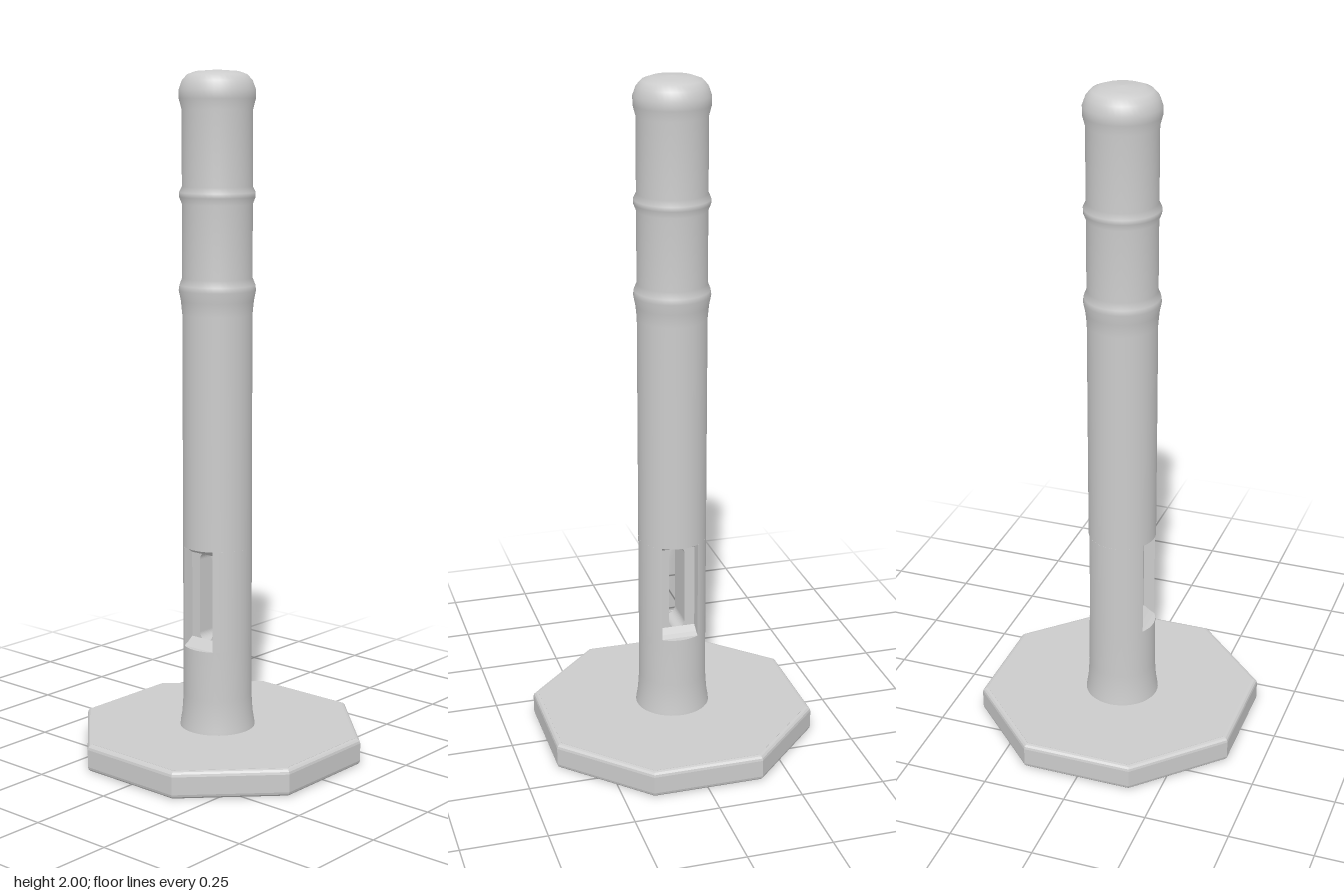
import * as THREE from 'three';

const CX = -0.006, CZ = 0.008;            // the shaft sits slightly off centre
const R = 0.101;                          // shaft radius
const SLOT = { bottom: 0.33, top: 0.63, half: 0.055, depth: 0.05 };

const material = new THREE.MeshStandardMaterial({ color: 0xcccccc });

function add(parent, name, geometry) {
  const mesh = new THREE.Mesh(geometry, material);
  mesh.name = name;
  parent.add(mesh);
  return mesh;
}

function lathe(points) {
  return new THREE.LatheGeometry(points.map(([r, y]) => new THREE.Vector2(r, y)), 40);
}

// Extrude a plan outline upwards from y0 to y1
function slab(shape, y0, y1, bevel = 0) {
  const geometry = new THREE.ExtrudeGeometry(shape, {
    depth: y1 - y0 - 2 * bevel, bevelEnabled: bevel > 0, bevelSize: bevel,
    bevelThickness: bevel, bevelOffset: -bevel, bevelSegments: 3, curveSegments: 24,
  });
  return geometry.rotateX(-Math.PI / 2).translate(0, y0 + bevel, 0);
}

function octagon(apothem) {
  const r = apothem / Math.cos(Math.PI / 8), points = [];
  for (let i = 0; i < 8; i++) {
    const a = Math.PI / 8 + i * Math.PI / 4;
    points.push(new THREE.Vector2(r * Math.cos(a), r * Math.sin(a)));
  }
  return new THREE.Shape(points);
}

function withHole(shape, r) {
  shape.holes.push(new THREE.Path().absarc(0, 0, r, 0, Math.PI * 2, true));
  return shape;
}

function ring(outer, inner) {
  return withHole(new THREE.Shape().absarc(0, 0, outer, 0, Math.PI * 2), inner);
}

function createBase() {
  const base = new THREE.Group();
  base.name = 'base';
  add(base, 'rim', slab(withHole(octagon(0.397), 0.35), 0, 0.08, 0.014));
  add(base, 'plate', slab(octagon(0.382), 0.045, 0.0805));
  // Ribbed underside
  add(base, 'middleRing', slab(ring(0.31, 0.27), 0.008, 0.05));
  add(base, 'hubRing', slab(ring(0.17, 0.12), 0.008, 0.05));
  for (let i = 0; i < 8; i++) {
    const a = i * Math.PI / 4;
    const spoke = add(base, 'spoke', new THREE.BoxGeometry(0.21, 0.036, 0.03));
    spoke.position.set(0.255 * Math.cos(a), 0.031, 0.255 * Math.sin(a));
    spoke.rotation.y = -a;
  }
  return base;
}

function createSlot() {
  const slot = new THREE.Group();
  slot.name = 'slottedSection';
  const { bottom, top, half, depth } = SLOT;

  // Inner web with a narrow rounded hole right through it
  const web = new THREE.Shape();
  web.moveTo(-0.08, bottom).lineTo(0.08, bottom).lineTo(0.08, top).lineTo(-0.08, top).closePath();
  const hole = new THREE.Path();
  hole.absarc(0, 0.37, 0.024, Math.PI, Math.PI * 2, false);
  hole.absarc(0, 0.59, 0.024, 0, Math.PI, false);
  web.holes.push(hole);
  add(slot, 'web', new THREE.ExtrudeGeometry(web, { depth: 2 * depth, bevelEnabled: false, curveSegments: 10 })
    .translate(0, 0, -depth));

  // Side walls: segments of the round shaft
  const a = Math.acos(half / R);
  const wall = slab(new THREE.Shape().absarc(0, 0, R, -a, a), bottom, top);
  for (const turn of [0, Math.PI]) add(slot, 'sideWall', wall).rotation.y = turn;

  // Sloped ends of the recess on both faces
  for (const [end, dir] of [[bottom, 1], [top, -1]]) {
    const wedge = new THREE.Shape([[depth, end], [0.084, end], [0.07, end + dir * 0.008], [depth, end + dir * 0.022]]
      .map(([x, y]) => new THREE.Vector2(x, y)));
    const geometry = new THREE.ExtrudeGeometry(wedge, { depth: 2 * half, bevelEnabled: false })
      .translate(0, 0, -half);
    for (const turn of [1, -1]) add(slot, 'recessEnd', geometry).rotation.y = turn * Math.PI / 2;
  }
  return slot;
}

export function createModel() {
  const model = new THREE.Group();
  model.name = 'model';
  model.add(createBase());

  const shaft = new THREE.Group();
  shaft.name = 'shaft';
  shaft.position.set(CX, 0, CZ);
  model.add(shaft);

  // Flared foot below the slot
  add(shaft, 'foot', lathe([
    [0.112, 0.07], [0.11, 0.09], [0.105, 0.12], [R, 0.18], [R, SLOT.bottom], [R, SLOT.bottom], [0, SLOT.bottom],
  ]));
  shaft.add(createSlot());

  // Long tube with two raised bands and a domed cap
  add(shaft, 'tube', lathe([
    [0, SLOT.top], [R, SLOT.top], [R, SLOT.top], [R, 1.31], [0.105, 1.35], [0.111, 1.38], [0.109, 1.395],
    [R, 1.415], [R, 1.625], [0.109, 1.645], [0.109, 1.658], [R, 1.675], [R, 1.89],
    [0.109, 1.92], [0.109, 1.945], [0.1, 1.97], [0.085, 1.987], [0.06, 1.996], [0, 2],
  ]));
  return model;
}
